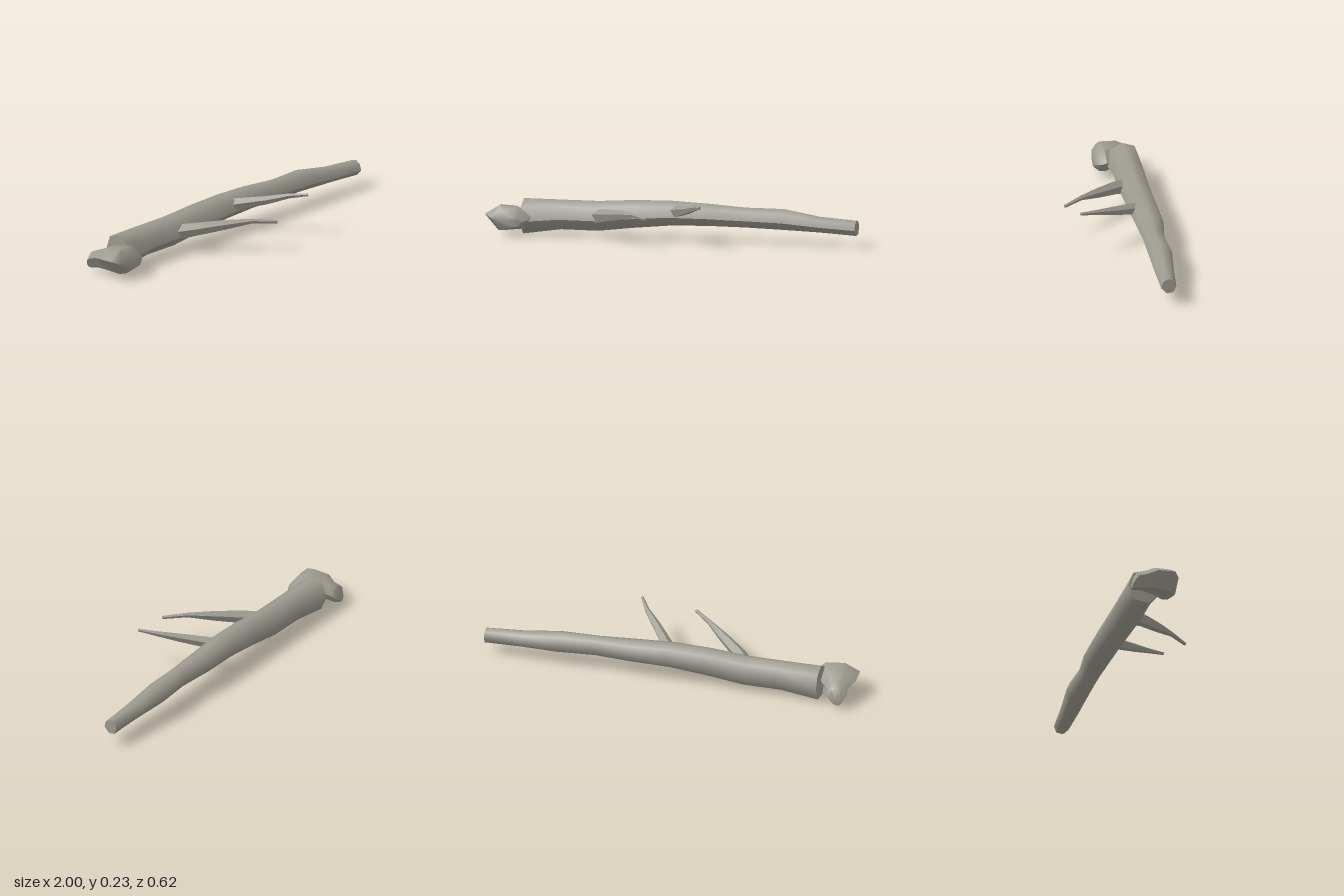
import * as THREE from 'three';
import { toCreasedNormals } from 'three/addons/utils/BufferGeometryUtils.js';

const V = (x, y, z) => new THREE.Vector3(x, y, z);

// Skin a list of equal-length rings and cap both ends.
function loft(rings, crease) {
  const n = rings[0].length, pts = rings.flat(), idx = [];
  for (let i = 0; i < rings.length - 1; i++) {
    for (let j = 0; j < n; j++) {
      const a = i * n + j, b = i * n + (j + 1) % n;
      idx.push(a, a + n, b, b, a + n, b + n);
    }
  }
  const last = (rings.length - 1) * n;
  for (let j = 1; j < n - 1; j++) {
    idx.push(0, j, j + 1, last, last + j + 1, last + j);
  }
  const g = new THREE.BufferGeometry().setFromPoints(pts);
  g.setIndex(idx);
  return toCreasedNormals(g, crease);
}

// Tapering twig along a path of [x, y, z, radius].
function twigGeometry(path, sides) {
  const p = path.map(([x, y, z]) => V(x, y, z));
  const rings = path.map(([, , , r], i) => {
    const t = p[Math.min(i + 1, p.length - 1)].clone().sub(p[Math.max(i - 1, 0)]).normalize();
    const u = t.clone().cross(V(0, 1, 0)).normalize();
    const v = u.clone().cross(t);
    return Array.from({ length: sides }, (_, j) => {
      const a = (j / sides) * Math.PI * 2 + 0.3;
      return p[i].clone().addScaledVector(u, r * Math.cos(a)).addScaledVector(v, r * Math.sin(a));
    });
  });
  return loft(rings, 0.9);
}

export function createModel() {
  const group = new THREE.Group();
  const bark = new THREE.MeshStandardMaterial({ color: 0x9c998f });
  bark.name = 'weathered bark';
  const add = (name, geometry) => {
    const mesh = new THREE.Mesh(geometry, bark);
    mesh.name = name;
    group.add(mesh);
  };

  // Trunk: [x, back z, front z, bottom y, top y], with an uneven seven-sided section
  const section = [[1, -0.25], [0.75, 0.6], [0.05, 1], [-0.7, 0.8], [-1, 0], [-0.6, -0.85], [0.25, -1]];
  const stations = [
    [-0.805, -0.285, -0.11, 0, 0.185], [-0.6, -0.255, -0.097, 0.03, 0.185],
    [-0.4, -0.23, -0.073, 0.03, 0.186], [-0.2, -0.2, -0.048, 0.055, 0.2],
    [0, -0.175, -0.027, 0.075, 0.204], [0.2, -0.153, -0.012, 0.08, 0.195],
    [0.4, -0.107, 0.002, 0.08, 0.184], [0.6, -0.096, 0.025, 0.075, 0.184],
    [0.8, -0.053, 0.045, 0.07, 0.152], [0.995, -0.017, 0.062, 0.06, 0.14],
  ];
  add('trunk', loft(stations.map(([x, z0, z1, y0, y1]) => section.map(([a, b]) => {
    const dz = a * (z1 - z0) / 2;
    return V(x - dz * 0.16, (y0 + y1) / 2 + b * (y1 - y0) / 2, (z0 + z1) / 2 + dz);
  })), 1.01));

  // Knotted end: [z, left x, right x, bottom y, top y], running across the trunk
  const knot = [[1, 0.3], [0.35, 1], [-0.5, 0.9], [-1, 0.1], [-0.65, -0.8], [0.4, -1]];
  const knobRings = [
    [-0.31, -0.93, -0.885, 0.022, 0.05], [-0.288, -0.955, -0.85, 0.022, 0.108],
    [-0.245, -0.955, -0.84, 0.03, 0.125], [-0.19, -0.99, -0.8, 0.035, 0.15],
    [-0.1, -1, -0.755, 0.025, 0.158], [-0.07, -0.965, -0.77, 0.03, 0.13],
    [-0.048, -0.88, -0.8, 0.05, 0.1],
  ];
  add('knottedEnd', loft(knobRings.map(([z, x0, x1, y0, y1]) => knot.map(([a, b]) =>
    V((x0 + x1) / 2 - a * (x1 - x0) / 2, (y0 + y1) / 2 + b * (y1 - y0) / 2, z))), 0.85));

  // Twigs growing from the front
  add('longTwig', twigGeometry([
    [-0.4, 0.108, -0.11, 0.042], [-0.35, 0.125, -0.03, 0.036], [-0.25, 0.147, 0.09, 0.027],
    [-0.16, 0.165, 0.2, 0.013], [-0.08, 0.161, 0.305, 0.009],
  ], 5));
  add('shortTwig', twigGeometry([
    [0.01, 0.145, -0.08, 0.036], [0.04, 0.16, -0.02, 0.031], [0.105, 0.185, 0.1, 0.023],
    [0.168, 0.212, 0.2, 0.014], [0.205, 0.227, 0.293, 0.008],
  ], 5));

  return group;
}
